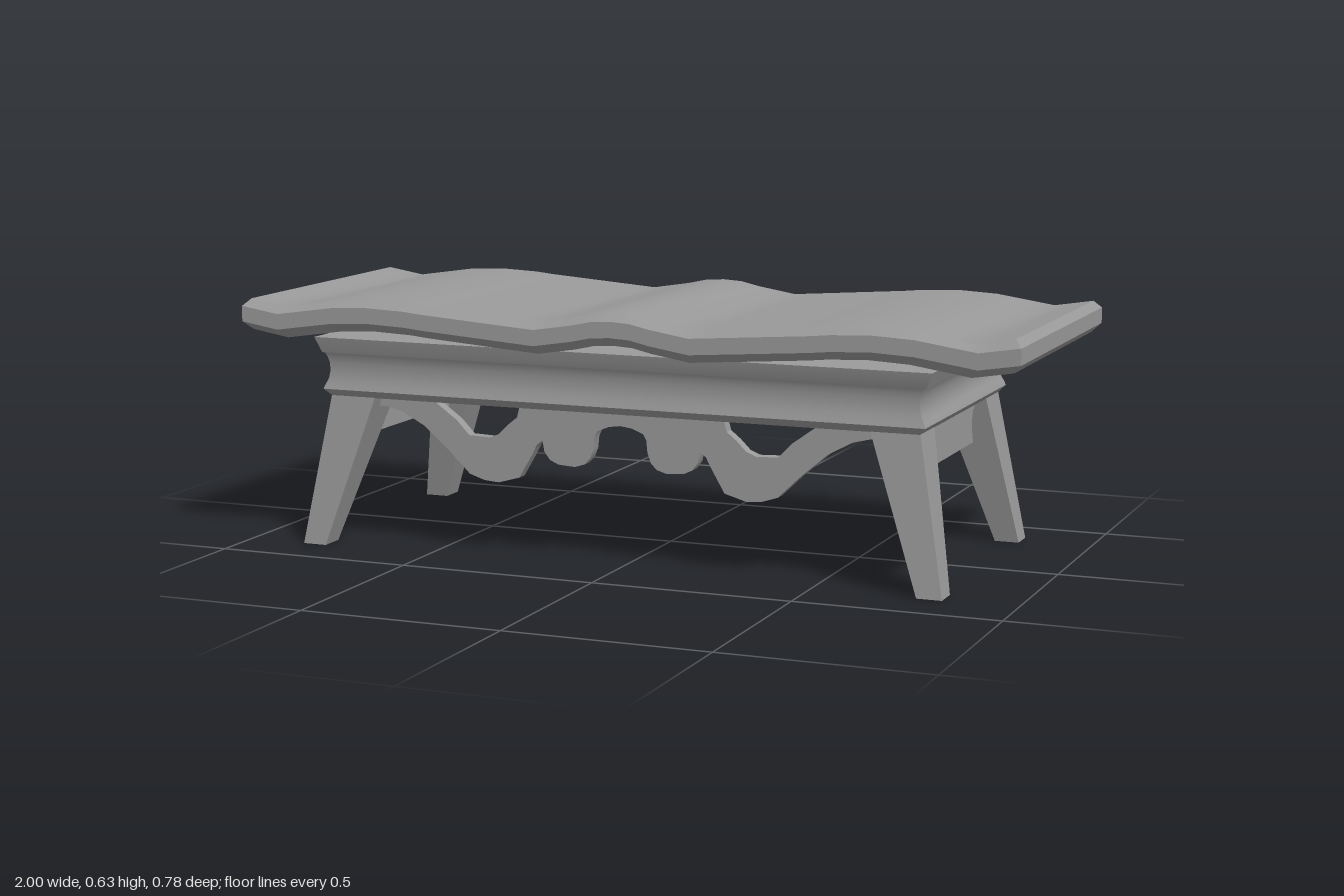
import * as THREE from 'three';
import { toCreasedNormals } from 'three/addons/utils/BufferGeometryUtils.js';

const material = new THREE.MeshStandardMaterial({ color: 0x9b9b9b, side: THREE.DoubleSide });

function part(name, geometry, crease = 0.5) {
  const mesh = new THREE.Mesh(toCreasedNormals(geometry, crease), material);
  mesh.name = name;
  return mesh;
}

// Box whose levels, bottom to top, become rectangles [y, x0, x1, z0, z1]
function stack(levels) {
  const n = levels.length - 1;
  const geo = new THREE.BoxGeometry(1, 1, 1, 1, n, 1);
  const p = geo.attributes.position;
  for (let i = 0; i < p.count; i++) {
    const [y, x0, x1, z0, z1] = levels[Math.round((p.getY(i) + 0.5) * n)];
    p.setXYZ(i, p.getX(i) < 0 ? x0 : x1, y, p.getZ(i) < 0 ? z0 : z1);
  }
  return geo;
}

// Height of the wavy top, from the middle out to one end
const crests = [
  [0, 0.626], [0.05, 0.623], [0.1, 0.612], [0.2, 0.596], [0.5, 0.618], [0.55, 0.623],
  [0.65, 0.627], [0.75, 0.622], [0.9, 0.6], [1, 0.616],
];
function waveHeight(x) {
  const a = Math.min(Math.abs(x), 1);
  const k = Math.max(1, crests.findIndex(c => c[0] >= a - 1e-6));
  const [[xa, ya], [xb, yb]] = [crests[k - 1], crests[k]];
  return THREE.MathUtils.mapLinear(a, xa, xb, ya, yb);
}

// Chamfered slab that follows the wave
function wavyTop() {
  const levels = [[-0.078, 0.021], [-0.057, 0], [-0.018, 0], [0, 0.018]]; // drop, inset
  const geo = new THREE.BoxGeometry(2, 1, 2, 40, 3, 1);
  const p = geo.attributes.position;
  for (let i = 0; i < p.count; i++) {
    const [drop, inset] = levels[Math.round((p.getY(i) + 0.5) * 3)];
    const x = p.getX(i);
    p.setXYZ(i, x * (1 - inset), waveHeight(x) + drop, p.getZ(i) * (0.388 - inset));
  }
  return geo;
}

// Mirrored flat panel: the half outline runs from the top centre to the bottom centre
function panel(half, depth) {
  const mirrored = half.slice().reverse().map(([x, y]) => [-x, y]);
  const points = [...half, ...mirrored].map(([x, y]) => new THREE.Vector2(x, y));
  const geo = new THREE.ExtrudeGeometry(new THREE.Shape(points), { depth, bevelEnabled: false });
  return geo.translate(0, 0, -depth / 2);
}

export function createModel() {
  const model = new THREE.Group();
  model.add(part('tableTop', wavyTop(), 0.35));

  const base = new THREE.Group();
  base.name = 'base';
  base.position.set(-0.015, 0, -0.005);
  model.add(base);

  // Moulded apron: a cove that flares out to the upper lip
  const profile = [
    [0.376, 0.765, 0.335], [0.394, 0.782, 0.35], [0.405, 0.778, 0.347], [0.42, 0.77, 0.343],
    [0.44, 0.766, 0.341], [0.46, 0.767, 0.342], [0.475, 0.771, 0.345], [0.485, 0.776, 0.349],
    [0.487, 0.784, 0.35], [0.525, 0.8, 0.36],
  ];
  base.add(part('apron', stack(profile.map(([y, x, z]) => [y, -x, x, -z, z]))));

  // Splayed tapering legs
  for (const sx of [-1, 1]) {
    for (const sz of [-1, 1]) {
      const span = (s, a, b) => (s < 0 ? [-b, -a] : [a, b]);
      const geo = stack([
        [0, ...span(sx, 0.773, 0.835), ...span(sz, 0.307, 0.372)],
        [0.385, ...span(sx, 0.643, 0.765), ...span(sz, 0.221, 0.335)],
      ]);
      base.add(part((sz > 0 ? 'front' : 'back') + (sx > 0 ? 'LeftLeg' : 'RightLeg'), geo));
    }
  }

  // Scrolled front rail with an opening above each large curl
  const scroll = [
    [0, 0.385], [0.265, 0.385], [0.275, 0.345], [0.3, 0.325], [0.325, 0.3], [0.35, 0.29],
    [0.405, 0.292], [0.44, 0.328], [0.52, 0.385], [0.67, 0.385], [0.67, 0.352], [0.63, 0.35],
    [0.59, 0.34], [0.53, 0.308], [0.46, 0.248], [0.405, 0.195], [0.365, 0.182], [0.326, 0.179],
    [0.27, 0.195], [0.235, 0.255], [0.222, 0.28], [0.207, 0.292], [0.202, 0.265], [0.187, 0.245],
    [0.165, 0.235], [0.121, 0.232], [0.095, 0.24], [0.08, 0.255], [0.071, 0.28], [0.068, 0.31],
    [0.06, 0.325], [0.03, 0.337], [0, 0.341],
  ];
  const rail = part('frontScrollRail', panel(scroll, 0.03), 0.6);
  rail.position.z = 0.28;
  base.add(rail);

  // End panels with hollowed sides
  const end = [
    [0, 0.385], [0.222, 0.385], [0.222, 0.372], [0.192, 0.352], [0.185, 0.338],
    [0.184, 0.316], [0.188, 0.29], [0.197, 0.27], [0, 0.27],
  ];
  for (const s of [-1, 1]) {
    const mesh = part(s > 0 ? 'leftEndPanel' : 'rightEndPanel', panel(end, 0.035), 0.6);
    mesh.rotation.y = Math.PI / 2;
    mesh.position.x = s * 0.725;
    base.add(mesh);
  }
  return model;
}
